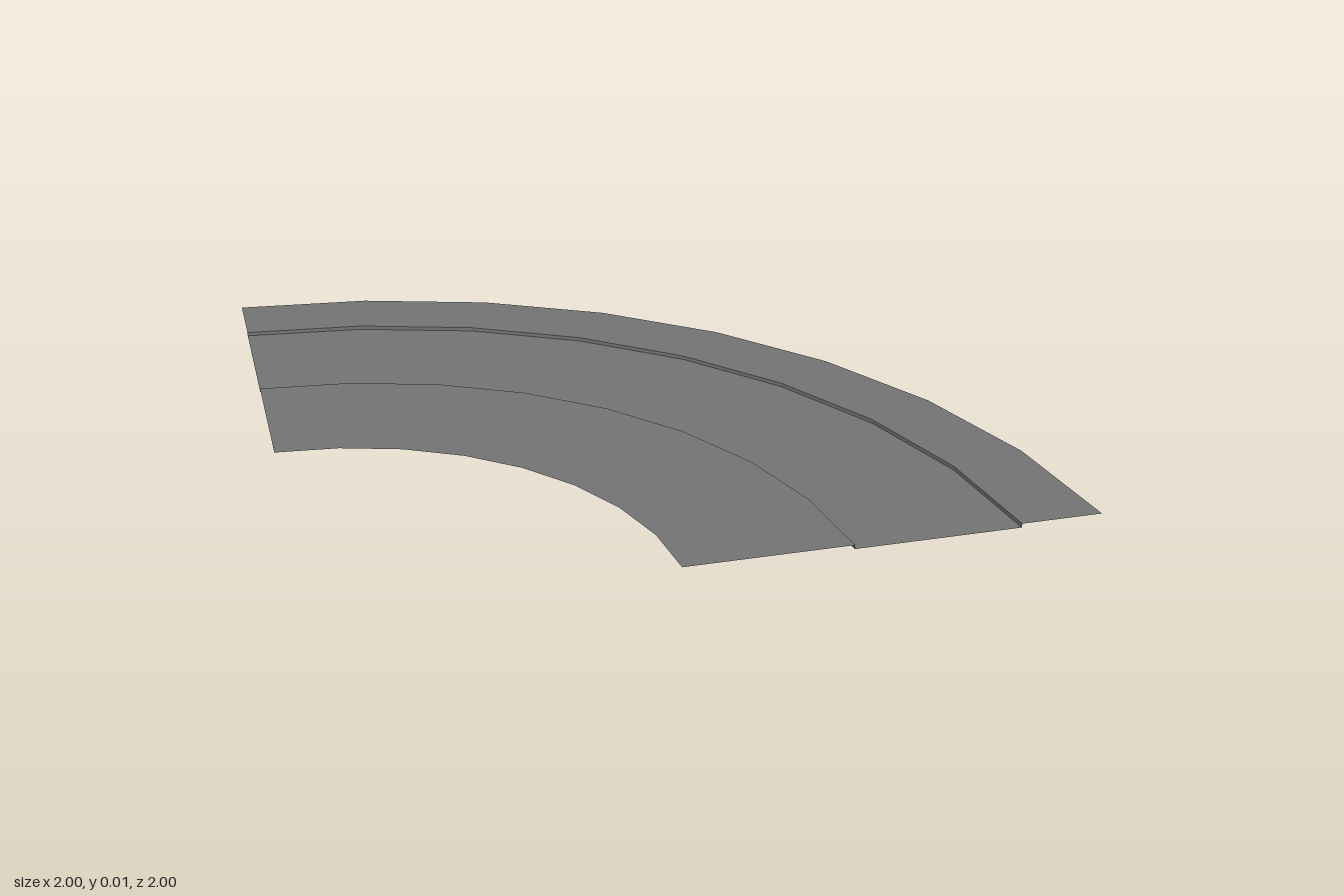
import * as THREE from 'three';

const SEGMENTS = 8;
const QUARTER = Math.PI / 2;
const KERB_HEIGHT = 0.011;
// Radii measured from the centre of the bend
const INNER = 0.89, ROAD_IN = 1.333, ROAD_OUT = 1.78, OUTER = 2;

export function createModel() {
  const asphalt = new THREE.MeshStandardMaterial({
    color: 0x747474, flatShading: true, side: THREE.DoubleSide,
  });
  asphalt.name = 'asphalt grey';

  const group = new THREE.Group();
  group.name = 'roadBend';

  const add = (name, geometry) => {
    const mesh = new THREE.Mesh(geometry, asphalt);
    mesh.name = name;
    group.add(mesh);
  };

  // Flat quarter-ring strip at height y
  const strip = (name, r0, r1, y) => add(name,
    new THREE.RingGeometry(r0, r1, SEGMENTS, 1, 0, QUARTER)
      .rotateX(-Math.PI / 2).translate(-1, y, 1));

  // Upright step between the road and a pavement
  const kerb = (name, r) => add(name,
    new THREE.CylinderGeometry(r, r, KERB_HEIGHT, SEGMENTS, 1, true, QUARTER, QUARTER)
      .translate(-1, KERB_HEIGHT / 2, 1));

  strip('roadway', ROAD_IN, ROAD_OUT, 0);
  strip('innerPavement', INNER, ROAD_IN, KERB_HEIGHT);
  strip('outerPavement', ROAD_OUT, OUTER, KERB_HEIGHT);
  kerb('innerKerb', ROAD_IN);
  kerb('outerKerb', ROAD_OUT);

  return group;
}
